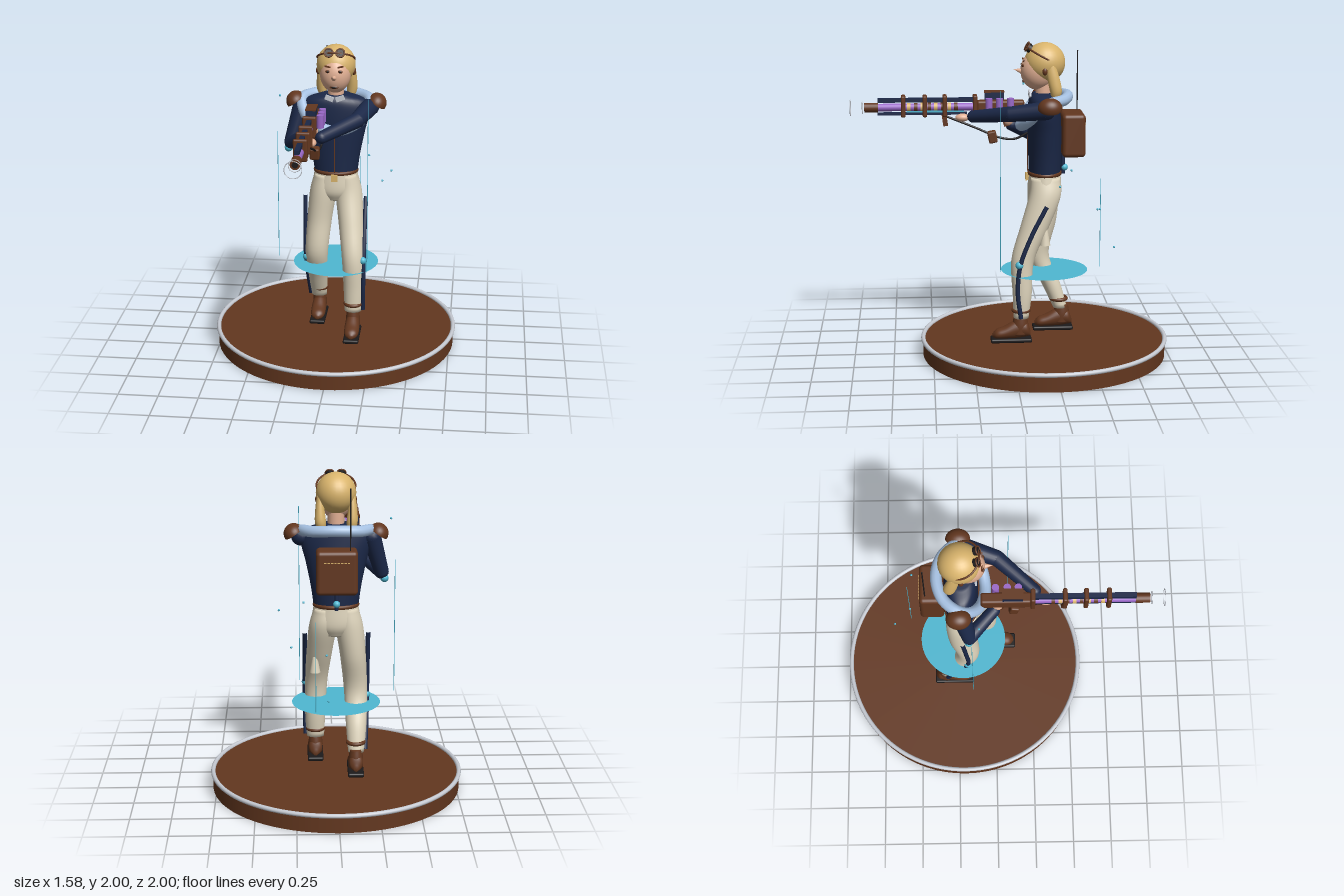
import * as THREE from 'three';
import { RoundedBoxGeometry } from 'three/addons/geometries/RoundedBoxGeometry.js';

const V = (a) => new THREE.Vector3(...a);
const mat = (name, color, side = THREE.FrontSide) => {
  const m = new THREE.MeshStandardMaterial({ color, side });
  m.name = name;
  return m;
};

// Smooth closed body through elliptical rings [x, y, z, rx, rz], listed bottom to top
function loft(rings, seg = 28, steps = 6) {
  const centre = new THREE.CatmullRomCurve3(rings.map((r) => V(r.slice(0, 3))), false, 'catmullrom');
  const radius = new THREE.CatmullRomCurve3(rings.map((r) => V([r[3], r[4], 0])), false, 'catmullrom');
  const n = (rings.length - 1) * steps, pos = [], idx = [];
  for (let i = 0; i <= n; i++) {
    const c = centre.getPoint(i / n), r = radius.getPoint(i / n);
    for (let j = 0; j < seg; j++) {
      const a = (j / seg) * Math.PI * 2;
      pos.push(c.x + Math.cos(a) * r.x, c.y, c.z + Math.sin(a) * r.y);
      const k = (j + 1) % seg, p = i * seg;
      if (i < n) idx.push(p + j, p + seg + j, p + k, p + k, p + seg + j, p + seg + k);
    }
  }
  const bottom = (n + 1) * seg, last = n * seg;
  pos.push(...centre.getPoint(0).toArray(), ...centre.getPoint(1).toArray());
  for (let j = 0; j < seg; j++) {
    const k = (j + 1) % seg;
    idx.push(bottom, j, k, bottom + 1, last + k, last + j);
  }
  const g = new THREE.BufferGeometry();
  g.setAttribute('position', new THREE.Float32BufferAttribute(pos, 3));
  g.setIndex(idx);
  g.computeVertexNormals();
  return g;
}

export function createModel() {
  const model = new THREE.Group();
  model.name = 'figureOnStand';
  const brown = mat('leather brown', 0x63371f), navy = mat('navy cloth', 0x1b2848);
  const cream = mat('cream cloth', 0xded4bc), paleBlue = mat('pale blue scarf', 0xa6c1e2);
  const cyan = mat('cyan glow', 0x4fb8d2, THREE.DoubleSide), blonde = mat('blonde', 0xd9b46c);
  const skin = mat('skin', 0xe2b094), black = mat('black', 0x1c1a1b);
  const purple = mat('purple cell', 0x9a68c8), silver = mat('silver', 0xc6cad2);

  let parent = model;
  const group = (name) => {
    parent = new THREE.Group();
    parent.name = name;
    model.add(parent);
  };
  const add = (name, geo, m, p = [0, 0, 0], rot = [0, 0, 0], s = [1, 1, 1]) => {
    const mesh = new THREE.Mesh(geo, m);
    mesh.name = name;
    mesh.position.set(...p);
    mesh.rotation.set(...rot);
    mesh.scale.set(...s);
    parent.add(mesh);
    return mesh;
  };
  const box = (name, m, size, p, rot) => add(name, new THREE.BoxGeometry(...size), m, p, rot);
  const ball = (name, m, r, p, rot) => add(name, new THREE.SphereGeometry(1, 28, 20), m, p, rot, r);
  const dot = (name, m, r, p) => add(name, new THREE.SphereGeometry(r, 14, 10), m, p);
  const cyl = (name, m, r, h, p, rot, r2 = r) => add(name, new THREE.CylinderGeometry(r2, r, h, 20), m, p, rot);
  const tube = (name, m, pts, r, closed = false) =>
    add(name, new THREE.TubeGeometry(new THREE.CatmullRomCurve3(pts.map(V), closed), 48, r, 12, closed), m);
  const limb = (name, m, a, b, ra, rb) => {
    const d = V(b).sub(V(a));
    const mesh = cyl(name, m, ra, d.length(), V(a).add(V(b)).multiplyScalar(0.5).toArray(), undefined, rb);
    mesh.quaternion.setFromUnitVectors(new THREE.Vector3(0, 1, 0), d.normalize());
    dot(name + 'Start', m, ra, a);
    dot(name + 'End', m, rb, b);
  };

  // Stand with silver rim, glowing disc, light streaks and sparks
  group('stand');
  add('standDisc', new THREE.CylinderGeometry(0.775, 0.775, 0.105, 72), brown, [0, 0.0525, -0.21]);
  add('standRim', new THREE.TorusGeometry(0.774, 0.014, 12, 96), silver, [0, 0.107, -0.21], [Math.PI / 2, 0, 0]);
  group('glow');
  add('glowDisc', new THREE.CircleGeometry(0.275, 48), cyan, [0, 0.55, -0.21], [-Math.PI / 2, 0, 0]);
  for (const [x, z, top] of [[0.225, 0.08, 1.73], [-0.365, -0.146, 1.44], [0.13, -0.55, 1.16]])
    cyl('lightStreak', cyan, 0.002, top - 0.595, [x, (top + 0.595) / 2, z]);
  for (const p of [[0.35, 1.16, -0.275], [0.275, 1, -0.53], [0.055, 0.7, -0.65], [0.065, 0.95, -0.54],
    [0.2, 1.23, -0.36], [-0.34, 1.69, -0.1]]) dot('spark', cyan, 0.007, p);

  // Trousers: the left leg steps forward, the right leg trails
  group('legs');
  add('hips', loft([[0, 0.99, -0.21, 0.1, 0.075], [0, 1.06, -0.21, 0.15, 0.105], [0, 1.19, -0.21, 0.135, 0.1]]), cream);
  add('leftLeg', loft([[0.127, 0.27, -0.055, 0.055, 0.048], [0.128, 0.42, -0.062, 0.064, 0.06],
    [0.121, 0.64, -0.065, 0.07, 0.072], [0.103, 0.85, -0.14, 0.08, 0.09], [0.082, 1.04, -0.205, 0.085, 0.1], [0.07, 1.16, -0.21, 0.065, 0.09]]), cream);
  add('rightLeg', loft([[-0.122, 0.26, -0.325, 0.05, 0.045], [-0.124, 0.42, -0.265, 0.064, 0.06],
    [-0.123, 0.62, -0.18, 0.073, 0.07], [-0.105, 0.85, -0.205, 0.08, 0.09], [-0.082, 1.04, -0.21, 0.085, 0.1], [-0.07, 1.16, -0.21, 0.065, 0.09]]), cream);
  tube('leftStripe', navy, [[0.193, 1, -0.21], [0.193, 0.8, -0.11], [0.194, 0.62, -0.045], [0.193, 0.45, -0.03], [0.19, 0.28, -0.05]], 0.014);
  tube('rightStripe', navy, [[-0.198, 1, -0.21], [-0.196, 0.8, -0.19], [-0.194, 0.6, -0.18], [-0.188, 0.43, -0.25], [-0.178, 0.27, -0.32]], 0.014);
  dot('leftKneeLight', cyan, 0.025, [0.188, 0.625, -0.04]);
  dot('rightKneeLight', cyan, 0.025, [-0.19, 0.585, -0.18]);
  cyl('hipPouch', cream, 0.033, 0.14, [0.13, 0.81, -0.205], undefined, 0.008);

  // Boots, soles and ankle straps
  group('boots');
  for (const [x, z] of [[0.127, 0], [-0.12, -0.285]]) {
    add('bootFoot', loft([[0, -0.115, 0.03, 0.012, 0.015], [0, -0.09, 0, 0.042, 0.05], [0, -0.03, 0, 0.045, 0.06],
      [0, 0.05, 0.022, 0.048, 0.04], [0, 0.1, 0.032, 0.04, 0.03], [0, 0.125, 0.04, 0.012, 0.012]]),
    brown, [x, 0.195, z], [Math.PI / 2, 0, 0]);
    add('bootShaft', loft([[x, 0.16, z - 0.045, 0.045, 0.06], [x, 0.22, z - 0.05, 0.045, 0.052], [x, 0.28, z - 0.05, 0.038, 0.04]]), brown);
    add('bootSole', new RoundedBoxGeometry(0.1, 0.026, 0.26, 2, 0.01), black, [x, 0.126, z + 0.008]);
    add('ankleStrap', new THREE.TorusGeometry(0.05, 0.012, 10, 32), brown, [x, 0.318, z - (x < 0 ? 0.03 : 0.055)], [Math.PI / 2, 0, 0]);
  }

  // Jacket, belt and buckle
  group('torso');
  add('jacket', loft([[0, 1.17, -0.21, 0.137, 0.1], [0, 1.3, -0.21, 0.155, 0.103], [0, 1.45, -0.208, 0.185, 0.105],
    [0, 1.58, -0.205, 0.215, 0.1], [0, 1.65, -0.205, 0.185, 0.092], [0, 1.685, -0.205, 0.09, 0.07]]), navy);
  add('belt', new THREE.TorusGeometry(1, 0.08, 10, 48), brown, [0, 1.18, -0.21], [Math.PI / 2, 0, 0], [0.133, 0.1, 0.16]);
  box('buckle', blonde, [0.04, 0.045, 0.02], [0, 1.155, -0.1]);
  box('zip', brown, [0.006, 0.24, 0.006], [0, 1.31, -0.104]);
  tube('scarf', paleBlue, [[0, 1.665, -0.35], [0.14, 1.655, -0.31], [0.215, 1.64, -0.21], [0.15, 1.53, -0.1],
    [0, 1.48, -0.06], [-0.15, 1.53, -0.1], [-0.215, 1.64, -0.21], [-0.14, 1.655, -0.31]], 0.035, true);
  for (const s of [1, -1]) {
    box('collarFlap', silver, [0.055, 0.03, 0.012], [s * 0.034, 1.675, -0.115], [0, 0, s * 0.35]);
    add('shoulderPad', new THREE.SphereGeometry(1, 28, 14, 0, Math.PI * 2, 0, Math.PI / 2), brown,
      [s * 0.255, 1.625, -0.22], [0, 0, -s * 0.6], [0.062, 0.062, 0.075]);
    add('shoulderPadUnderside', new THREE.CircleGeometry(1, 28).rotateX(Math.PI / 2), brown,
      [s * 0.255, 1.625, -0.22], [0, 0, -s * 0.6], [0.062, 1, 0.075]);
  }

  // Arms: right hand at the grip, left hand under the barrel
  group('arms');
  limb('rightUpperArm', navy, [-0.215, 1.6, -0.21], [-0.28, 1.37, -0.16], 0.058, 0.045);
  limb('rightForearm', navy, [-0.28, 1.37, -0.16], [-0.14, 1.46, -0.01], 0.045, 0.038);
  dot('rightElbowLight', cyan, 0.026, [-0.298, 1.33, -0.165]);
  ball('rightHand', skin, [0.03, 0.04, 0.034], [-0.12, 1.495, 0.012]);
  limb('leftUpperArm', navy, [0.215, 1.605, -0.2], [0.15, 1.575, 0.01], 0.058, 0.048);
  limb('leftForearm', navy, [0.15, 1.575, 0.01], [-0.045, 1.53, 0.235], 0.048, 0.038);
  ball('leftHand', skin, [0.032, 0.025, 0.045], [-0.1, 1.515, 0.3]);

  // Backpack with antenna and hanging light
  group('backpack');
  add('pack', new RoundedBoxGeometry(0.25, 0.27, 0.145, 4, 0.025), brown, [0, 1.427, -0.383]);
  for (let i = 0; i < 8; i++) box('packStitch', blonde, [0.014, 0.006, 0.005], [-0.07 + i * 0.02, 1.495, -0.457]);
  cyl('antenna', black, 0.004, 0.4, [-0.08, 1.735, -0.42]);
  cyl('hangingCable', navy, 0.013, 0.13, [0, 1.235, -0.325]);
  dot('hangingLight', cyan, 0.022, [0, 1.21, -0.335]);

  // Head, hair and face
  group('head');
  cyl('neck', skin, 0.05, 0.12, [0, 1.7, -0.2]);
  ball('face', skin, [0.097, 0.122, 0.105], [0, 1.825, -0.162]);
  ball('hair', blonde, [0.122, 0.125, 0.127], [0, 1.872, -0.208]);
  add('nose', new THREE.ConeGeometry(0.02, 0.055, 16), skin, [0, 1.825, -0.042], [1.35, 0, 0]);
  ball('mouth', brown, [0.027, 0.01, 0.008], [0, 1.757, -0.077]);
  ball('lips', black, [0.018, 0.004, 0.005], [0, 1.757, -0.071]);
  for (const s of [1, -1]) {
    add('hairLock', loft([[s * 0.088, 1.645, -0.265, 0.018, 0.018], [s * 0.095, 1.7, -0.27, 0.033, 0.036],
      [s * 0.098, 1.78, -0.255, 0.028, 0.038], [s * 0.095, 1.87, -0.235, 0.02, 0.03]]), blonde);
    ball('ear', brown, [0.014, 0.024, 0.016], [s * 0.112, 1.83, -0.2]);
    ball('eye', brown, [0.016, 0.01, 0.006], [s * 0.038, 1.858, -0.07]);
    ball('pupil', black, [0.006, 0.006, 0.004], [s * 0.038, 1.858, -0.065]);
    box('eyebrow', brown, [0.038, 0.009, 0.009], [s * 0.04, 1.887, -0.077], [0, 0, s * 0.2]);
    cyl('goggleLens', black, 0.026, 0.025, [s * 0.036, 1.965, -0.108], [1.05, 0, 0]);
    add('goggleFrame', new THREE.TorusGeometry(0.026, 0.005, 8, 24), brown, [s * 0.036, 1.971, -0.098], [-0.52, 0, 0]);
  }
  add('goggleStrap', new THREE.TorusGeometry(0.117, 0.006, 8, 48), brown, [0, 1.915, -0.195], [Math.PI / 2 - 0.5, 0, 0]);

  // Long energy rifle, pointing forward
  group('rifle');
  const X = -0.12, Y = 1.58, along = [Math.PI / 2, 0, 0];
  add('stock', new RoundedBoxGeometry(0.07, 0.09, 0.3, 3, 0.015), brown, [X, 1.575, 0.06]);
  box('scope', navy, [0.06, 0.045, 0.12], [X, 1.65, 0.1]);
  box('scopeTop', brown, [0.066, 0.008, 0.126], [X, 1.676, 0.1]);
  for (const z of [0, 0.07, 0.135]) cyl('powerCell', purple, 0.022, 0.08, [-0.063, 1.6, z]);
  cyl('core', purple, 0.024, 0.64, [X, Y, 0.515], along);
  for (let i = 0; i < 8; i++) cyl('coreBand', i % 2 ? blonde : brown, 0.028, 0.022, [X, Y, 0.34 + i * 0.042], along);
  box('topRail', navy, [0.03, 0.026, 0.62], [X, 1.625, 0.52]);
  box('lowerRail', navy, [0.026, 0.016, 0.56], [X, 1.54, 0.55]);
  box('lightStrip', cyan, [0.006, 0.01, 0.36], [-0.1, 1.555, 0.47]);
  for (const z of [0.22, 0.41, 0.535, 0.67])
    add('barrelClamp', new RoundedBoxGeometry(0.084, 0.135, 0.028, 2, 0.01), brown, [X, 1.588, z]);
  cyl('muzzle', brown, 0.03, 0.085, [X, 1.58, 0.87], along);
  cyl('muzzleBore', black, 0.018, 0.004, [X, 1.58, 0.913], along);
  for (const [z, r] of [[0.925, 0.036], [1, 0.05]])
    add('muzzleRing', new THREE.TorusGeometry(r, 0.0025, 8, 40), silver, [X, Y, z]);
  box('frontGrip', brown, [0.03, 0.07, 0.03], [X, 1.495, 0.41], [0.15, 0, 0]);
  box('rearGrip', brown, [0.035, 0.09, 0.04], [X, 1.5, 0.03], [0.3, 0, 0]);
  tube('sling', black, [[X, 1.52, 0.4], [-0.1, 1.45, 0.22], [-0.09, 1.385, 0.06], [-0.08, 1.38, -0.03], [-0.07, 1.42, -0.11]], 0.007);
  add('slingPouch', new RoundedBoxGeometry(0.06, 0.075, 0.055, 2, 0.01), brown, [-0.1, 1.39, 0.112], [0.2, 0, 0]);

  return model;
}
